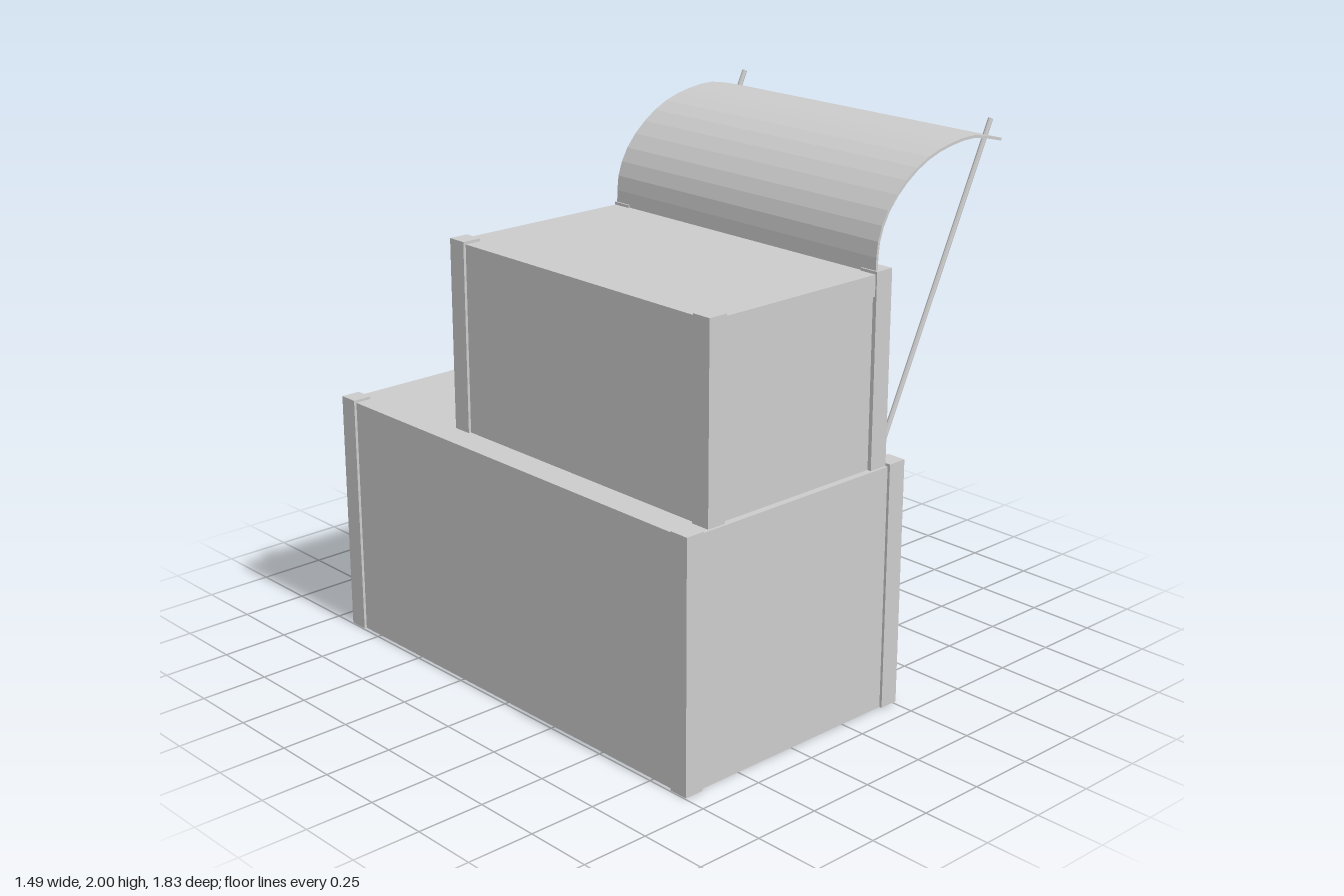
import * as THREE from 'three';

const material = new THREE.MeshStandardMaterial({ color: 0xcccccc, flatShading: true });
const smoothMaterial = new THREE.MeshStandardMaterial({ color: 0xcccccc, side: THREE.DoubleSide });

// Box given by its limits along each axis
function block(parent, name, [x0, x1], [y0, y1], [z0, z1]) {
  const mesh = new THREE.Mesh(new THREE.BoxGeometry(x1 - x0, y1 - y0, z1 - z0), material);
  mesh.position.set((x0 + x1) / 2, (y0 + y1) / 2, (z0 + z1) / 2);
  mesh.name = name;
  parent.add(mesh);
  return mesh;
}

// Four square corner posts inside the given outline
function posts(parent, name, [x0, x1], [y0, y1], [z0, z1], size) {
  for (const x of [x0, x1 - size]) {
    for (const z of [z0, z1 - size]) block(parent, name, [x, x + size], [y0, y1], [z, z + size]);
  }
}

function createCounter() {
  const g = new THREE.Group();
  g.name = 'counter';
  posts(g, 'counterPost', [-0.745, 0.265], [0, 0.905], [-0.915, 0.915], 0.073);
  block(g, 'counterTop', [-0.735, 0.264], [0.87, 0.895], [-0.905, 0.905]);
  block(g, 'counterFrontBeam', [0.235, 0.264], [0.82, 0.895], [-0.9, 0.9]);
  block(g, 'counterFrontPanel', [0.235, 0.255], [0, 0.83], [-0.9, 0.9]);
  block(g, 'counterBackPanel', [-0.735, -0.715], [0, 0.88], [-0.9, 0.9]);
  for (const s of [-1, 1]) {
    block(g, 'counterEndPanel', [-0.73, 0.25], [0, 0.88], s > 0 ? [0.885, 0.905] : [-0.905, -0.885]);
  }
  return g;
}

function createKiosk() {
  const g = new THREE.Group();
  g.name = 'kiosk';
  const z0 = -0.383, z1 = 0.895;
  posts(g, 'kioskPost', [-0.635, 0.192], [0.88, 1.585], [z0, z1], 0.073);
  block(g, 'kioskRoof', [-0.625, 0.19], [1.55, 1.575], [z0 + 0.005, z1 - 0.008]);
  block(g, 'kioskBackPanel', [-0.625, -0.605], [0.88, 1.56], [z0 + 0.01, z1 - 0.01]);
  // End walls: recessed panel below a beam
  block(g, 'kioskEndPanel', [-0.62, 0.18], [0.88, 1.56], [0.86, 0.88]);
  block(g, 'kioskEndBeam', [-0.62, 0.18], [1.5, 1.575], [0.86, 0.889]);
  block(g, 'kioskEndPanel', [-0.62, 0.18], [0.88, 1.56], [-0.37, -0.35]);
  block(g, 'kioskEndBeam', [-0.62, 0.18], [1.5, 1.575], [-0.379, -0.35]);
  block(g, 'endHatch', [-0.3, -0.1], [1.14, 1.31], [-0.377, -0.365]);
  // Slatted serving side
  block(g, 'servingPanel', [0.15, 0.176], [0.88, 1.56], [-0.37, 0.88]);
  for (const [a, b] of [[0.88, 0.955], [0.955, 1.05], [1.14, 1.25], [1.34, 1.44], [1.5, 1.575]]) {
    block(g, 'servingSlat', [0.16, 0.19], [a, b], [-0.312, 0.825]);
  }
  block(g, 'signBoard', [0.19, 0.202], [1.45, 1.65], [-0.056, 0.584]);
  return g;
}

// Curved sheet extruded along the length of the kiosk, held by two slanted poles
function createAwning() {
  const g = new THREE.Group();
  g.name = 'awning';
  const path = new THREE.CatmullRomCurve3([
    [0.13, 1.575], [0.137, 1.68], [0.18, 1.775], [0.265, 1.86],
    [0.37, 1.92], [0.485, 1.95], [0.6, 1.958], [0.74, 1.928],
  ].map(([x, y]) => new THREE.Vector3(x, y, 0)));
  const steps = 14, half = 0.005, outer = [], inner = [];
  for (let i = 0; i <= steps; i++) {
    const p = path.getPoint(i / steps), t = path.getTangent(i / steps);
    outer.push(new THREE.Vector2(p.x - t.y * half, p.y + t.x * half));
    inner.unshift(new THREE.Vector2(p.x + t.y * half, p.y - t.x * half));
  }
  const sheet = new THREE.Mesh(
    new THREE.ExtrudeGeometry(new THREE.Shape([...outer, ...inner]), { depth: 1.26, bevelEnabled: false }),
    smoothMaterial);
  sheet.position.z = -0.377;
  sheet.name = 'awningSheet';
  g.add(sheet);

  const foot = new THREE.Vector3(0.203, 0.89, 0), tip = new THREE.Vector3(0.729, 1.995, 0);
  const along = tip.clone().sub(foot);
  for (const z of [-0.334, 0.842]) {
    const pole = new THREE.Mesh(new THREE.CylinderGeometry(0.009, 0.009, along.length(), 8), material);
    pole.position.copy(foot).add(tip).multiplyScalar(0.5).setZ(z);
    pole.quaternion.setFromUnitVectors(new THREE.Vector3(0, 1, 0), along.clone().normalize());
    pole.name = 'awningPole';
    g.add(pole);
  }
  return g;
}

// Roll of cloth on the counter front with a sheet hanging from it
function createRoll() {
  const g = new THREE.Group();
  g.name = 'clothRoll';
  const roll = new THREE.Mesh(new THREE.CylinderGeometry(0.078, 0.078, 0.83, 16), smoothMaterial);
  roll.rotation.x = Math.PI / 2;
  roll.scale.x = 0.87;
  roll.position.set(0.262, 0.687, 0.286);
  roll.name = 'roll';
  g.add(roll);
  block(g, 'rollCore', [0.25, 0.305], [0.655, 0.727], [-0.145, 0.716]);
  block(g, 'hangingSheet', [0.25, 0.26], [0.005, 0.69], [-0.12, 0.7]);
  return g;
}

export function createModel() {
  const model = new THREE.Group();
  model.name = 'marketStall';
  model.add(createCounter(), createKiosk(), createAwning(), createRoll());
  return model;
}
